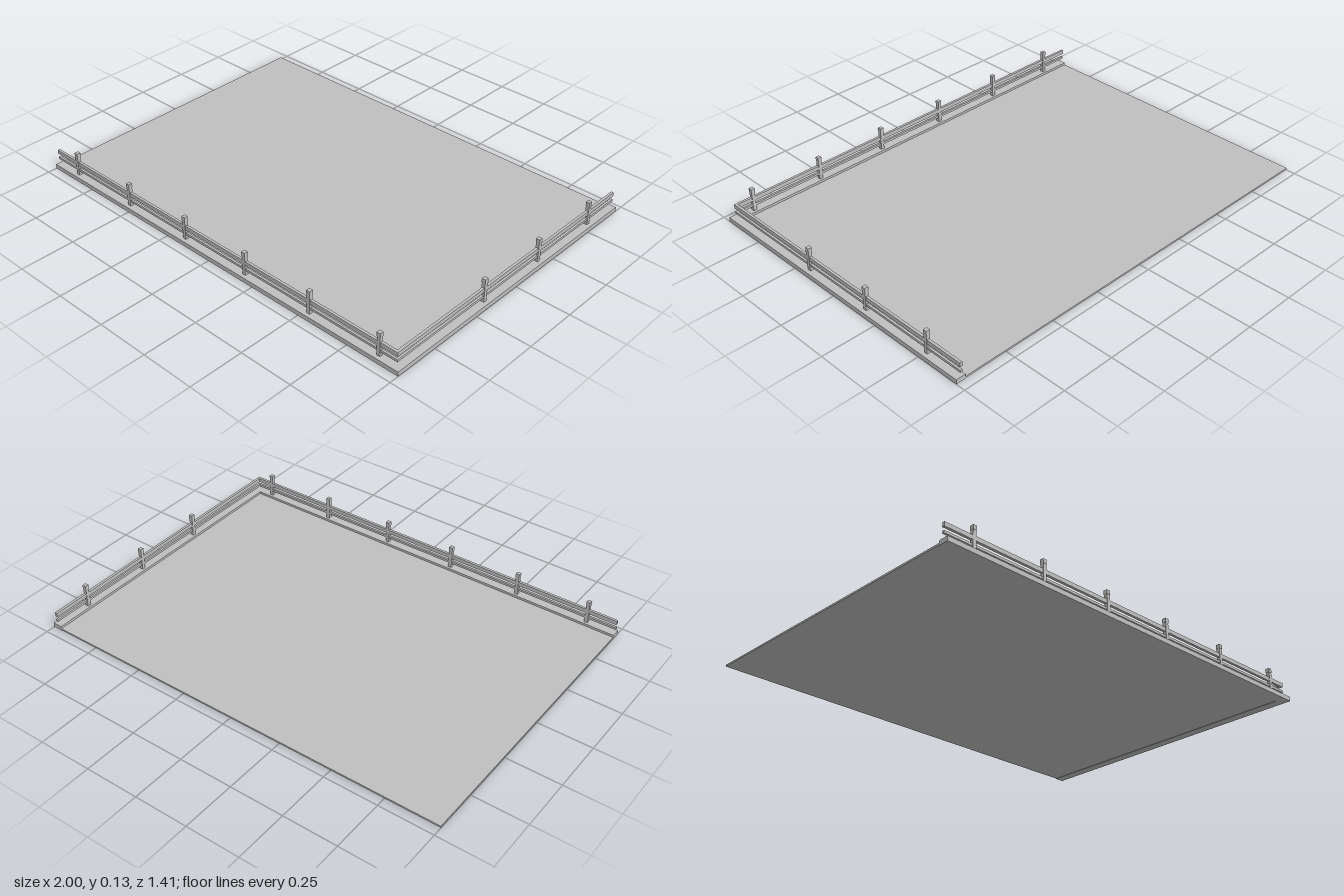
import * as THREE from 'three';

export function createModel() {
  const model = new THREE.Group();
  model.name = 'railedPlatform';
  const gray = new THREE.MeshStandardMaterial({ color: 0xc0c0c0 });
  gray.name = 'plain gray';

  // Box given by its minimum and maximum on each axis
  const box = (name, [x0, x1], [y0, y1], [z0, z1], parent = model) => {
    const mesh = new THREE.Mesh(new THREE.BoxGeometry(x1 - x0, y1 - y0, z1 - z0), gray);
    mesh.position.set((x0 + x1) / 2, (y0 + y1) / 2, (z0 + z1) / 2);
    mesh.name = name;
    parent.add(mesh);
  };

  const X = 1, Z = 0.707;            // half extents
  const kerb = 0.045;                // kerb width
  const railX = 0.974, railZ = 0.682; // centre lines of the two fences

  // Thin floor inside an L-shaped kerb
  box('floor', [-X, X - kerb], [0.002, 0.01], [-Z, Z - kerb]);
  box('frontKerb', [-X, X], [0, 0.021], [Z - kerb, Z]);
  box('sideKerb', [X - kerb, X], [0, 0.021], [-Z, Z - kerb]);

  // Upper and lower rails, meeting at the corner
  const rails = [['upperRail', 0.068, 0.087, 0.006], ['lowerRail', 0.041, 0.052, 0.005]];
  for (const [name, y0, y1, half] of rails) {
    box(name + 'Front', [-X, railX + half], [y0, y1], [railZ - half, railZ + half]);
    box(name + 'Side', [railX - half, railX + half], [y0, y1], [-Z, railZ - half]);
  }

  // Square posts with small caps
  const post = (x, z) => {
    const group = new THREE.Group();
    group.name = 'post';
    const w = 0.008, c = 0.009;
    box('postShaft', [x - w, x + w], [0.021, 0.11], [z - w, z + w], group);
    box('postCap', [x - c, x + c], [0.11, 0.129], [z - c, z + c], group);
    model.add(group);
  };
  for (let i = 0; i < 6; i++) post(-0.86 + i * 0.35, railZ);
  for (let i = 0; i < 3; i++) post(railX, 0.177 - i * 0.35);

  return model;
}
